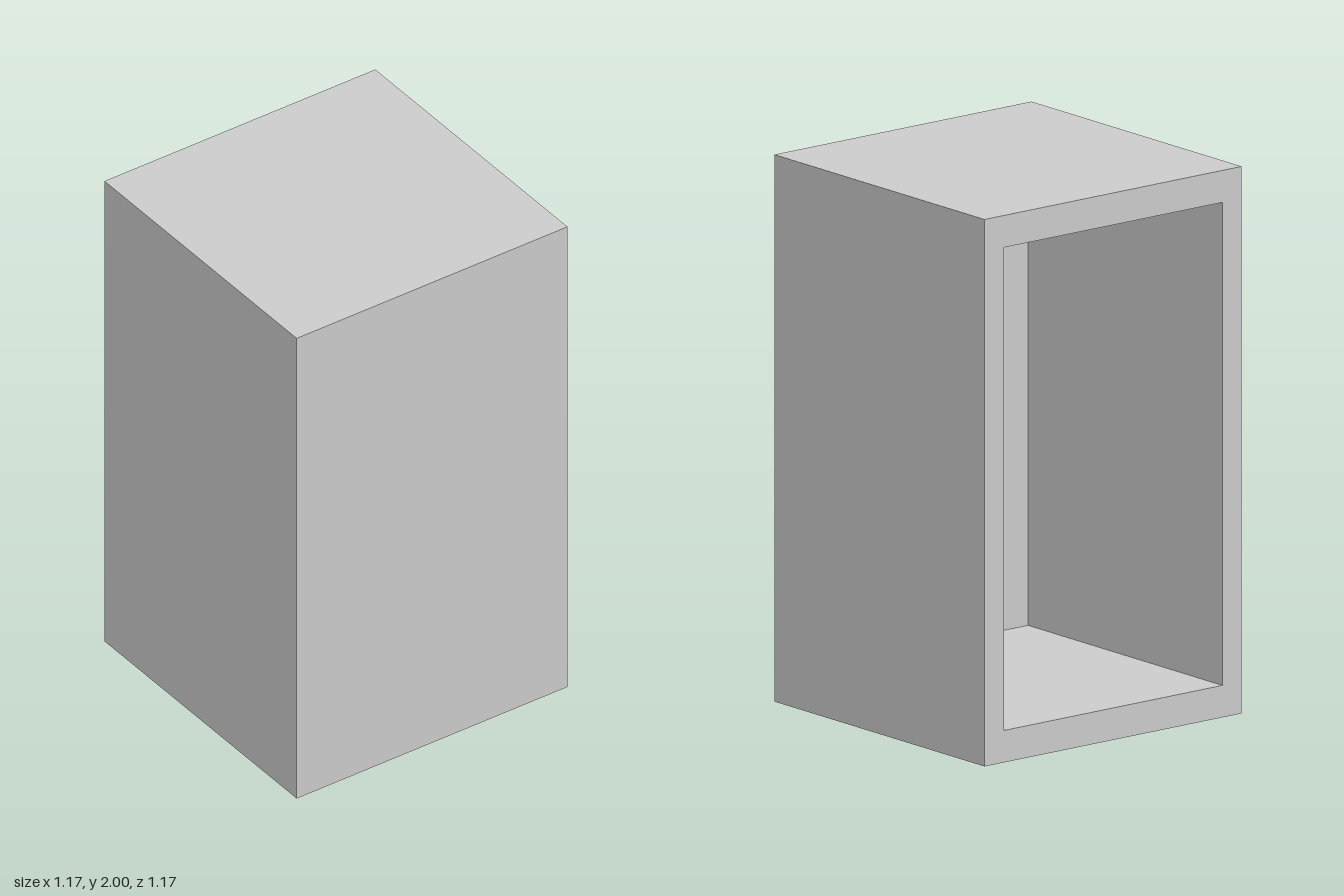
import * as THREE from 'three';

const W = 0.5875, H = 2;            // outer half width/depth, height
const WALL = 0.088, SLAB = 0.117;   // side/front wall and top/bottom thickness

// Four corners of a rectangle at depth z, counter-clockwise seen from +z
const rect = (side, slab, z) => {
  const x = W - side;
  return [[-x, slab, z], [x, slab, z], [x, H - slab, z], [-x, H - slab, z]];
};

// Hollow box: loops run over the outside, around the back rim and into the cavity
function hollowBox() {
  const loops = [
    rect(0, 0, W),
    rect(0, 0, -W),
    rect(WALL, SLAB, -W),
    rect(WALL, SLAB, W - WALL),
  ];
  const pos = [];
  const quad = (a, b, c, d) => pos.push(...a, ...b, ...c, ...a, ...c, ...d);

  quad(...loops[0]);                  // outer front face
  quad(...loops[3].slice().reverse()); // inner face of the front wall
  for (let l = 0; l < 3; l++) {
    for (let i = 0; i < 4; i++) {
      const j = (i + 1) % 4;
      quad(loops[l][i], loops[l + 1][i], loops[l + 1][j], loops[l][j]);
    }
  }
  const geo = new THREE.BufferGeometry();
  geo.setAttribute('position', new THREE.Float32BufferAttribute(pos, 3));
  geo.computeVertexNormals();
  return geo;
}

export function createModel() {
  const group = new THREE.Group();
  group.name = 'openBackBox';
  const material = new THREE.MeshStandardMaterial({ color: 0xcccccc, flatShading: true });
  const shell = new THREE.Mesh(hollowBox(), material);
  shell.name = 'shell';
  group.add(shell);
  return group;
}
